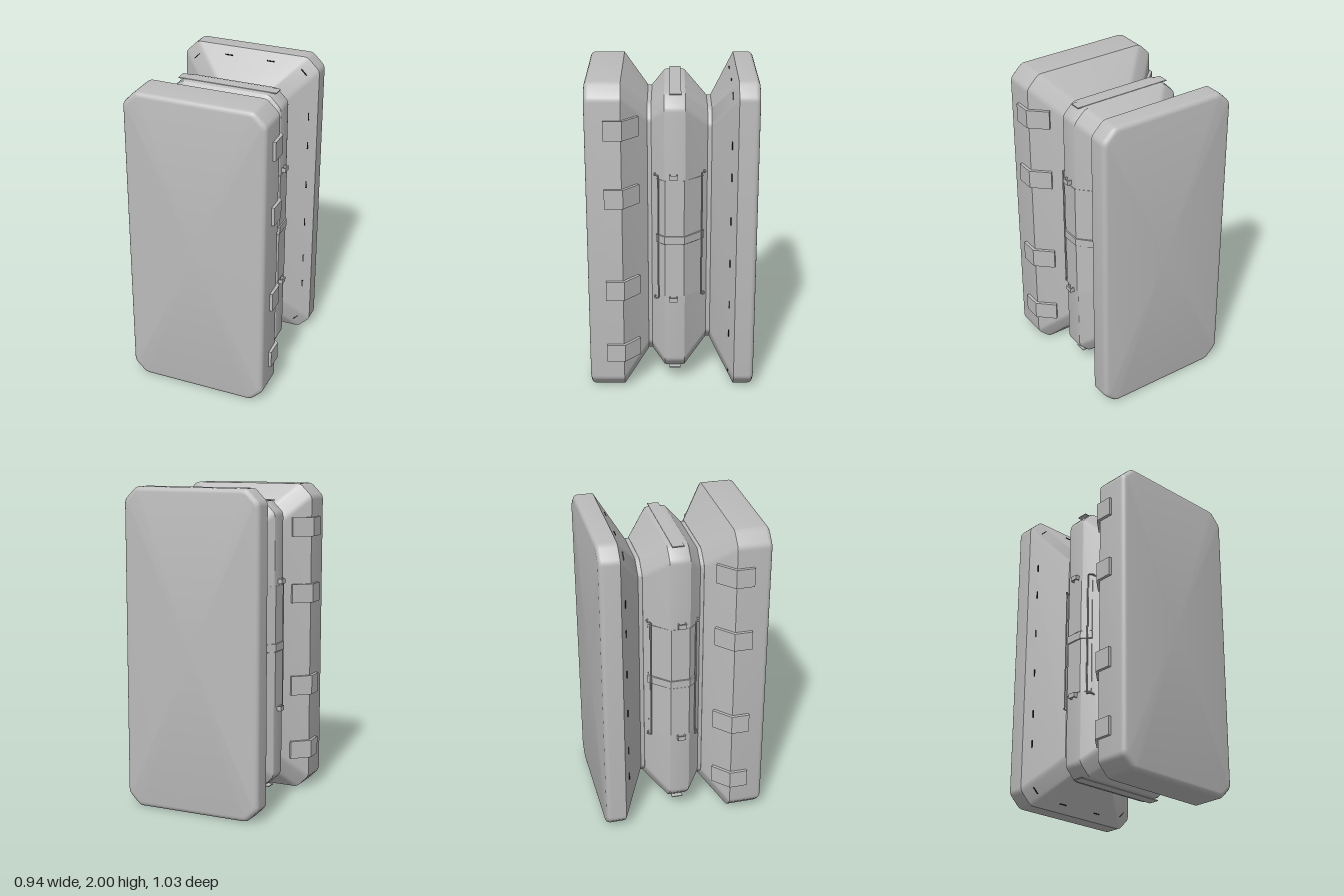
import * as THREE from 'three';
import { toCreasedNormals } from 'three/addons/utils/BufferGeometryUtils.js';

// Rectangle outline with softly rounded corner chamfers, centred on y = 1
function outline(hw, hy, c) {
  const quarter = [];
  const r = 0.022, d = r * Math.SQRT1_2;
  const soften = (ax, ay, bx, by, cx, cy) => {
    for (let i = 0; i <= 3; i++) {
      const t = i / 3, u = 1 - t;
      quarter.push([u * u * ax + 2 * u * t * bx + t * t * cx, u * u * ay + 2 * u * t * by + t * t * cy]);
    }
  };
  soften(hw, hy - c - r, hw, hy - c, hw - d, hy - c + d);
  soften(hw - c + d, hy - d, hw - c, hy, hw - c - r, hy);
  const back = [...quarter].reverse();
  return [
    ...quarter,
    ...back.map(([x, y]) => [-x, y]),
    ...quarter.map(([x, y]) => [-x, -y]),
    ...back.map(([x, y]) => [x, -y]),
  ].map(([x, y]) => [x, y + 1]);
}

// Closed solid through sections [z, half width, half height, chamfer], front to back
function loft(sections) {
  const pos = [];
  const rings = sections.map(([z, hw, hy, c]) => outline(hw, hy, c).map(([x, y]) => [x, y, z]));
  const n = rings[0].length, last = rings[rings.length - 1];
  const tri = (...p) => p.forEach(v => pos.push(...v));
  for (let j = 0; j < n; j++) {
    const k = (j + 1) % n;
    for (let i = 0; i < rings.length - 1; i++) {
      const a = rings[i][j], b = rings[i][k], c = rings[i + 1][k], d = rings[i + 1][j];
      tri(a, d, b);
      tri(b, d, c);
    }
    tri([0, 1, rings[0][0][2]], rings[0][j], rings[0][k]);
    tri([0, 1, last[0][2]], last[k], last[j]);
  }
  const g = new THREE.BufferGeometry();
  g.setAttribute('position', new THREE.Float32BufferAttribute(pos, 3));
  return toCreasedNormals(g, 0.45);
}

// Prism with an [x, z] floor plan between two heights; side mirrors it in x
function prism(points, y0, y1, side) {
  const shape = new THREE.Shape(points.map(([x, z]) => new THREE.Vector2(x * side, -z)));
  const g = new THREE.ExtrudeGeometry(shape, { depth: y1 - y0, bevelEnabled: false });
  return g.rotateX(-Math.PI / 2).translate(0, y0, 0);
}

export function createModel() {
  const model = new THREE.Group();
  const shell = new THREE.MeshStandardMaterial({ name: 'shell grey', color: 0xbcbcbc });
  const dark = new THREE.MeshStandardMaterial({ name: 'slot black', color: 0x1c1c1c });
  const add = (name, geometry, material = shell) => {
    const mesh = new THREE.Mesh(geometry, material);
    mesh.name = name;
    model.add(mesh);
    return mesh;
  };

  // Main body: two large end blocks, a middle block and two grooves
  const R = 0.03, front = [], rear = [];
  for (let i = 0; i <= 4; i++) {
    const a = i * Math.PI / 8, inset = R * (1 - Math.sin(a)), z = 0.515 - R * (1 - Math.cos(a));
    const ring = s => [s * z, 0.45 - inset, 1 - inset, 0.08 - inset * 0.5];
    front.push(ring(1));
    rear.unshift(ring(-1));
  }
  add('frontBlock', loft([...front, [0.3, 0.45, 1, 0.08], [0.148, 0.285, 0.83, 0.08]]));
  add('frontGroove', loft([[0.15, 0.283, 0.828, 0.08], [0.12, 0.283, 0.828, 0.08]]));
  add('middleBlock', loft([
    [0.124, 0.285, 0.83, 0.08], [0.046, 0.362, 0.907, 0.075], [0.034, 0.365, 0.91, 0.075],
    [-0.066, 0.365, 0.91, 0.075], [-0.08, 0.362, 0.907, 0.075], [-0.216, 0.23, 0.78, 0.08],
  ]));
  add('rearGroove', loft([[-0.212, 0.228, 0.778, 0.08], [-0.245, 0.228, 0.778, 0.08]]));
  add('rearBlock', loft([[-0.242, 0.23, 0.78, 0.08], [-0.39, 0.45, 1, 0.08], ...rear]));

  for (const side of [1, -1]) {
    // Bent clips over the shoulder of the front block
    for (const [y0, y1] of [[1.67, 1.79], [1.245, 1.365], [0.64, 0.765], [0.215, 0.33]]) {
      add('shoulderClip', prism([
        [0.447, 0.405], [0.469, 0.405], [0.469, 0.292], [0.366, 0.196], [0.352, 0.21], [0.447, 0.3],
      ], y0, y1, side));
    }
    // Thin wrapped panels and a raised band on the middle block
    const wrap = t => [
      [0.318 + t, 0.09 + t], [0.365 + t, 0.041 + t * 0.4], [0.365 + t, -0.073 - t * 0.4],
      [0.256 + t, -0.19 - t], [0.245, -0.19], [0.35, -0.07], [0.35, 0.035], [0.308, 0.09],
    ];
    add('upperSidePanel', prism(wrap(0.003), 1.03, 1.385, side));
    add('lowerSidePanel', prism(wrap(0.003), 0.62, 0.97, side));
    add('sideBand', prism(wrap(0.009), 0.975, 1.025, side));

    // Slim upright rails with ends curling into the body
    const hooks = [
      [[0.3, 0.1], [0.322, 0.107], [0.341, 0.103], [0.35, 0.084]],
      [[0.245, -0.19], [0.268, -0.203], [0.284, -0.2], [0.292, -0.184]],
    ];
    for (const hook of hooks) {
      const upper = hook.map(([x, z]) => new THREE.Vector3(x * side, 1.415, z));
      const path = new THREE.CurvePath();
      const lower = upper.map(p => p.clone().setY(0.6)).reverse();
      path.add(new THREE.CatmullRomCurve3(upper));
      path.add(new THREE.LineCurve3(upper[3], lower[0]));
      path.add(new THREE.CatmullRomCurve3(lower));
      add('sideRail', new THREE.TubeGeometry(path, 120, 0.005, 8));
    }
    // Square loops at the ends of the side panels
    for (const y of [1.412, 0.603]) {
      add('sideLoop', prism([
        [0.355, -0.034], [0.392, -0.034], [0.392, 0.016], [0.355, 0.016],
        [0.355, 0.009], [0.385, 0.009], [0.385, -0.027], [0.355, -0.027],
      ], y - 0.015, y + 0.015, side));
    }
  }

  // Shallow plates on the top and bottom of the middle block
  for (const y of [1.91, 0.09]) {
    add('endPlate', new THREE.BoxGeometry(0.64, 0.006, 0.07).translate(0, y, -0.02));
  }

  // Small slots around the sloping face of the rear block
  const slot = (x, y, length, angle) => {
    const mesh = add('slopeSlot', new THREE.BoxGeometry(length, 0.006, 0.006), dark);
    mesh.position.set(x, y, -0.357);
    mesh.rotation.z = angle;
  };
  for (const sx of [1, -1]) {
    for (const sy of [1, -1]) {
      for (const dy of [0.14, 0.42, 0.62]) slot(sx * 0.401, 1 + sy * dy, 0.05, Math.PI / 2);
      slot(sx * 0.14, 1 + sy * 0.951, 0.05, 0);
      slot(sx * 0.361, 1 + sy * 0.911, 0.05, -sx * sy * Math.PI / 4);
    }
  }
  return model;
}
